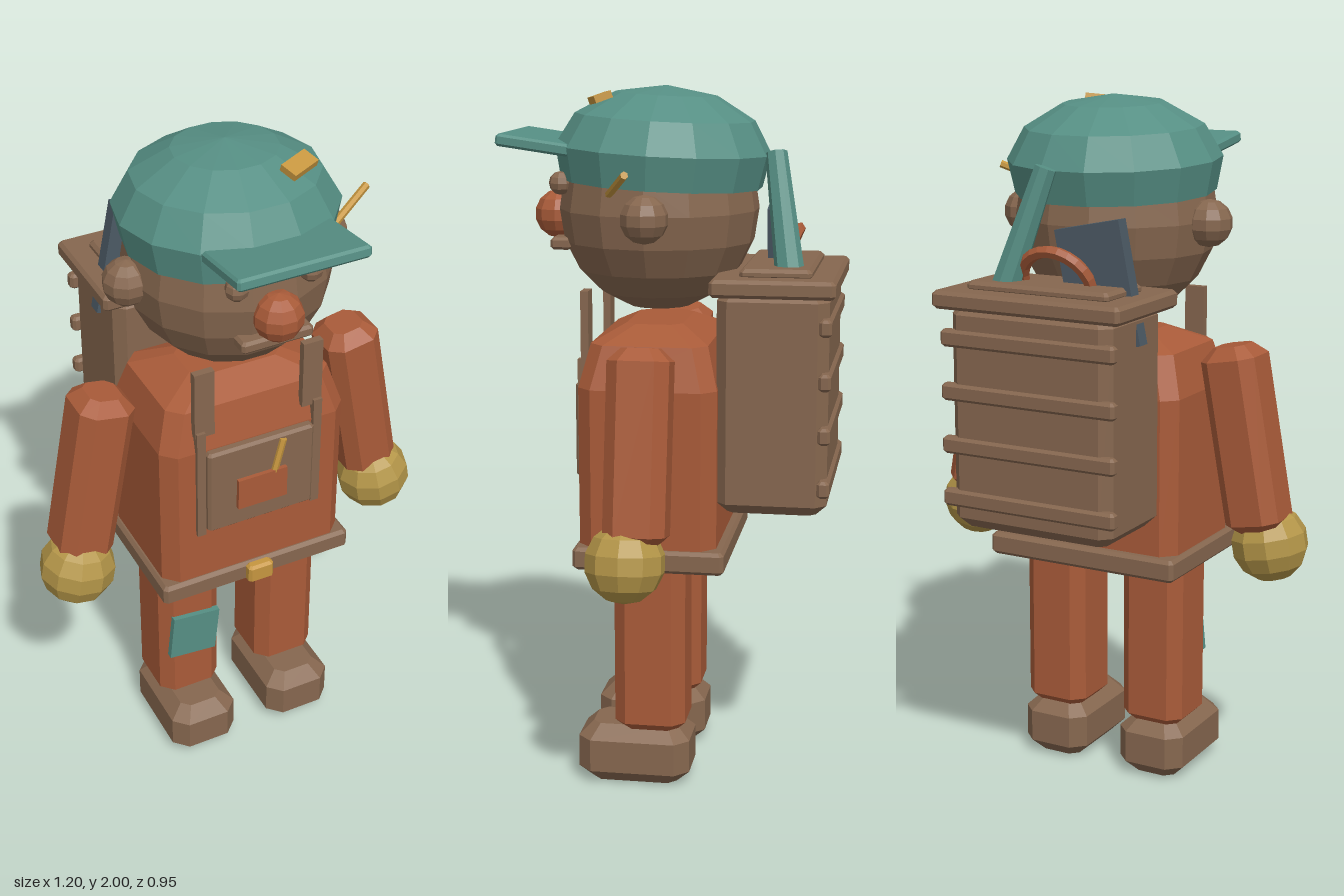
import * as THREE from 'three';

const mat = (name, color) => {
  const m = new THREE.MeshStandardMaterial({ color, flatShading: true });
  m.name = name;
  return m;
};

// Stacks eight-sided (corner-cut rectangle) sections [y, halfWidth, halfDepth, cut] into a closed solid
function loft(sections) {
  const pos = [], index = [];
  for (const [y, w, d, c] of sections) {
    const ring = [[w - c, d], [w, d - c], [w, c - d], [w - c, -d], [c - w, -d], [-w, c - d], [-w, d - c], [c - w, d]];
    for (const [x, z] of ring) pos.push(x, y, z);
  }
  const top = (sections.length - 1) * 8;
  for (let s = 0; s < top; s += 8) {
    for (let i = 0; i < 8; i++) {
      const j = (i + 1) % 8;
      index.push(s + i, s + j, s + 8 + j, s + i, s + 8 + j, s + 8 + i);
    }
  }
  for (let i = 1; i < 7; i++) index.push(top, top + i, top + i + 1, 0, i + 1, i);
  const g = new THREE.BufferGeometry();
  g.setAttribute('position', new THREE.Float32BufferAttribute(pos, 3));
  g.setIndex(index);
  const flat = g.toNonIndexed();
  flat.computeVertexNormals();
  return flat;
}

// Box with every edge cut by c
const cutBox = (w, h, d, c) => loft([
  [-h / 2, w / 2 - c, d / 2 - c, c * 0.6], [-h / 2 + c, w / 2, d / 2, c],
  [h / 2 - c, w / 2, d / 2, c], [h / 2, w / 2 - c, d / 2 - c, c * 0.6],
]);

export function createModel() {
  const model = new THREE.Group();
  model.name = 'backpacker';
  const brown = mat('brown', 0x86674f);
  const rust = mat('rust', 0xa95b39);
  const teal = mat('teal', 0x568f84);
  const mustard = mat('mustard', 0xb39548);
  const amber = mat('amber', 0xc6963f);
  const slate = mat('slate', 0x4b5964);

  const add = (name, geo, material, x, y, z, rx = 0, ry = 0, rz = 0) => {
    const m = new THREE.Mesh(geo, material);
    m.name = name;
    m.position.set(x, y, z);
    m.rotation.set(rx, ry, rz);
    model.add(m);
    return m;
  };
  const box = (w, h, d) => new THREE.BoxGeometry(w, h, d);
  const ball = (r, a = 10, b = 7) => new THREE.SphereGeometry(r, a, b);
  // Round bar between two points
  const bar = (name, material, from, to, r0, r1, sides) => {
    const a = new THREE.Vector3(...from), b = new THREE.Vector3(...to);
    const dir = b.clone().sub(a);
    const m = add(name, new THREE.CylinderGeometry(r1, r0, dir.length(), sides), material, 0, 0, 0);
    m.position.copy(a).add(b).multiplyScalar(0.5);
    m.quaternion.setFromUnitVectors(new THREE.Vector3(0, 1, 0), dir.normalize());
  };

  // Limbs, ears, eyes and straps, mirrored
  for (const [side, s] of [['left', 1], ['right', -1]]) {
    add(side + 'Foot', cutBox(0.21, 0.175, 0.325, 0.04), brown, s * 0.163, 0.0925, 0.0875);
    add(side + 'Leg', cutBox(0.195, 0.53, 0.205, 0.035), rust, s * 0.163, 0.425, 0.04);
    add(side + 'Arm', cutBox(0.165, 0.54, 0.17, 0.035), rust, s * 0.425, 1.055, 0.035, 0, 0, s * 0.18);
    add(side + 'Hand', ball(0.112), mustard, s * 0.49, 0.752, 0.062, 0, 0, s * 0.18);
    add(side + 'Ear', ball(0.067), brown, s * 0.295, 1.655, 0.04);
    add(side + 'Eye', ball(0.033, 8, 6), brown, s * 0.107, 1.733, 0.31);
    add(side + 'Strap', box(0.06, 0.21, 0.022), brown, s * 0.165, 1.337, 0.228);
    add(side + 'StrapEnd', box(0.026, 0.36, 0.022), brown, s * 0.18, 1.07, 0.238);
  }
  add('kneePatch', box(0.15, 0.15, 0.02), teal, -0.163, 0.422, 0.148, 0, 0, -0.1);

  // Torso with sloping shoulders
  add('torso', loft([
    [0.65, 0.235, 0.15, 0.03], [0.71, 0.285, 0.195, 0.04], [1.18, 0.285, 0.195, 0.04],
    [1.3, 0.25, 0.165, 0.04], [1.345, 0.14, 0.08, 0.03],
  ]), rust, 0, 0, 0.042);
  add('belt', cutBox(0.6, 0.065, 0.43, 0.01), brown, 0, 0.697, 0.035);
  add('buckle', cutBox(0.08, 0.06, 0.035, 0.008), amber, 0, 0.698, 0.258);

  // Bib with pocket and pencil
  add('bib', cutBox(0.33, 0.275, 0.045, 0.008), brown, 0, 1.04, 0.24);
  add('pocket', box(0.153, 0.1, 0.02), rust, -0.002, 1.018, 0.265);
  bar('pocketPencil', amber, [0.038, 1.06, 0.265], [0.064, 1.165, 0.265], 0.011, 0.011, 6);

  // Head and face
  const head = add('head', ball(0.29, 14, 10), brown, 0, 1.658, 0.045);
  head.scale.z = 0.98;
  add('nose', ball(0.07), rust, 0, 1.637, 0.337);
  add('mouth', cutBox(0.21, 0.035, 0.06, 0.008), brown, 0, 1.562, 0.313);

  // Cap, brim and trinkets
  const capGeo = new THREE.SphereGeometry(0.308, 14, 4, 0, Math.PI * 2, 0, Math.PI * 0.62);
  capGeo.scale(1, 0.645, 1);
  const capTeal = teal.clone();
  capTeal.side = THREE.DoubleSide;
  add('cap', capGeo, capTeal, 0, 1.802, 0.035, -0.05);
  add('brim', cutBox(0.375, 0.034, 0.21, 0.007), teal, 0, 1.842, 0.372, -0.14);
  add('capTag', box(0.092, 0.02, 0.05), amber, 0.13, 1.97, 0.19, 0.35, 0.4, -0.05);
  bar('earPencil', amber, [0.25, 1.716, 0.145], [0.405, 1.782, 0.073], 0.011, 0.011, 6);

  // Backpack: crate body, lid and rear slats
  add('packBody', cutBox(0.5, 0.63, 0.31, 0.03), brown, 0, 1.145, -0.303);
  add('packLid', cutBox(0.58, 0.05, 0.345, 0.01), brown, 0, 1.47, -0.305);
  add('packLidPanel', cutBox(0.44, 0.03, 0.2, 0.01), brown, 0, 1.502, -0.308);
  for (let i = 0; i < 4; i++) {
    add('packSlat' + (i + 1), cutBox(0.54, 0.048, 0.035, 0.008), brown, 0, 1.365 - i * 0.15, -0.45);
  }

  // Things sticking out of the pack
  bar('rolledMat', teal, [0.14, 1.48, -0.342], [0.035, 1.82, -0.288], 0.042, 0.031, 8);
  add('slatePlate', box(0.2, 0.34, 0.042), slate, -0.13, 1.51, -0.282, 0, 0, -0.2);
  add('handleLoop', new THREE.TorusGeometry(0.105, 0.018, 6, 12, Math.PI), rust, -0.01, 1.51, -0.305, -0.45);

  return model;
}
